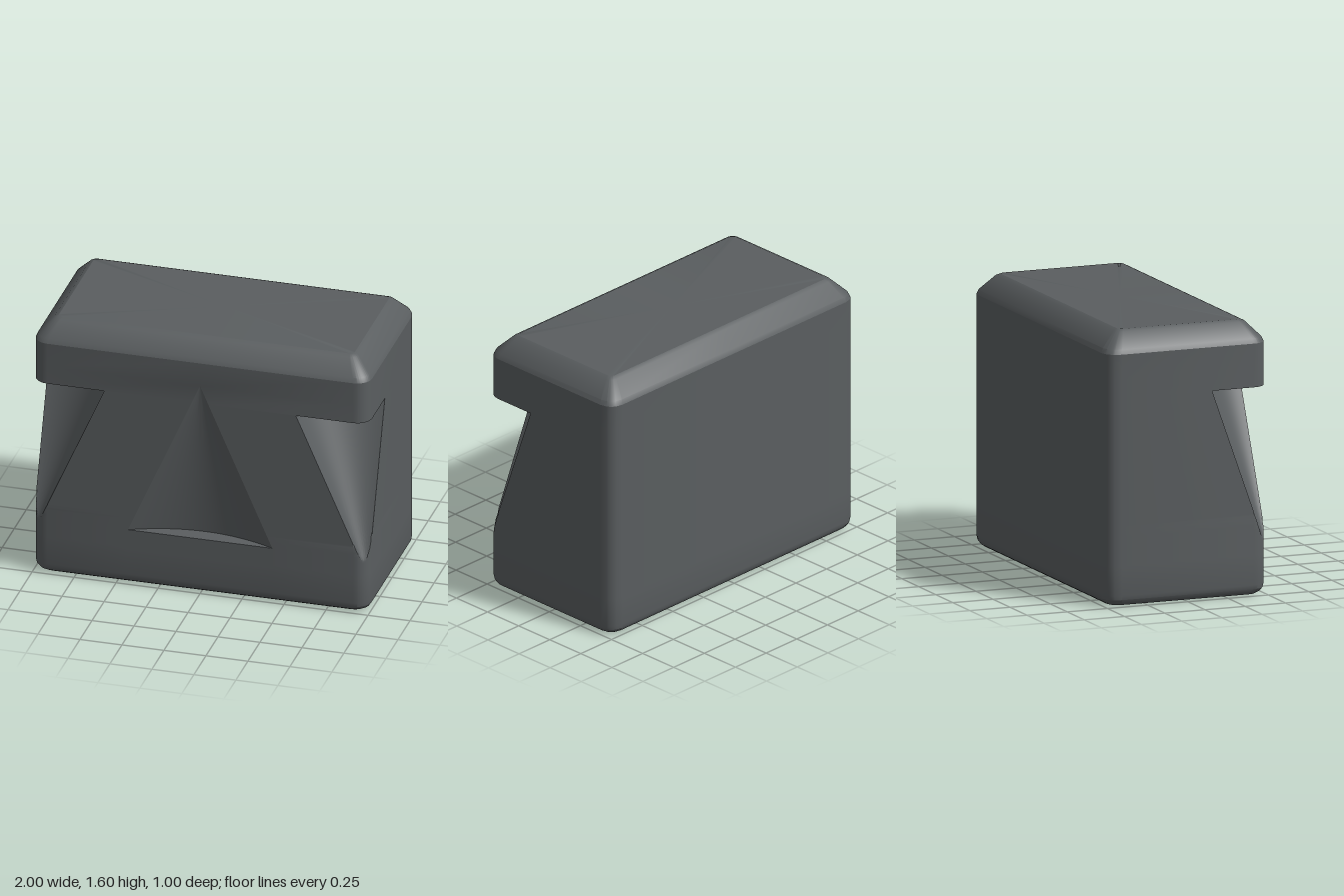
import * as THREE from 'three';
import { toCreasedNormals } from 'three/addons/utils/BufferGeometryUtils.js';

const HX = 1, HZ = 0.5;                       // half width and half depth
const RECESS = { base: 0.35, tip: 1.33, half: 0.43, depth: 0.1 };
const NOTCH = { tip: 0.24, top: 1.22, rx: 0.43, rz: 0.35 };
const RAYS = 32, ARC = 16;

// Distance from a square corner to the block's surface along a ray:
// the rounded edge, or the conical notch where that cuts deeper.
function cornerDepth(phi, radius, notch) {
  const c = Math.cos(phi), s = Math.sin(phi);
  const rounded = radius * (c + s - Math.sqrt(Math.max(0, 2 * c * s)));
  const cone = notch / Math.hypot(c / NOTCH.rx, s / NOTCH.rz);
  return Math.max(rounded, cone);
}

// Closed horizontal outline, running front centre -> right of frame -> back -> round again
function outline({ y, inset = 0, recess = false, notch = false }) {
  const hx = HX - inset, hz = HZ - inset, radius = 0.09 - inset * 0.5;
  const k = THREE.MathUtils.clamp((RECESS.tip - y) / (RECESS.tip - RECESS.base), 0, 1);
  const n = notch ? (y - NOTCH.tip) / (NOTCH.top - NOTCH.tip) : 0;
  const half = [];
  // front recess
  for (let i = 0; i <= ARC; i++) {
    const t = i / ARC;
    const depth = recess ? RECESS.depth * k * (1 - t * t) : 0;
    half.push([RECESS.half * k * t, hz - depth]);
  }
  // front corner with notch
  for (let i = 0; i <= RAYS; i++) {
    const phi = (i / RAYS) * Math.PI / 2, t = cornerDepth(phi, radius, n);
    half.push([hx - t * Math.cos(phi), hz - t * Math.sin(phi)]);
  }
  // rounded back corner
  for (let i = 0; i <= 8; i++) {
    const phi = (1 - i / 8) * Math.PI / 2, t = cornerDepth(phi, radius, 0);
    half.push([hx - t * Math.cos(phi), -hz + t * Math.sin(phi)]);
  }
  half.push([0, -hz]);
  const mirrored = half.slice(1, -1).reverse().map(([x, z]) => [-x, z]);
  return [...half, ...mirrored].map(([x, z]) => new THREE.Vector3(x, y, z));
}

function blockLevels() {
  const levels = [];
  // rounded bottom edge
  const r = 0.065;
  for (let i = 0; i <= 4; i++) {
    const a = (i / 4) * Math.PI / 2;
    levels.push({ y: r * (1 - Math.cos(a)), inset: r * (1 - Math.sin(a)) });
  }
  // start of the notches, then the floor of the recess
  for (let y = NOTCH.tip; y < RECESS.base - 0.001; y += 0.01) levels.push({ y, notch: true });
  levels.push({ y: RECESS.base, notch: true });
  for (let y = RECESS.base; y < 0.6; y += 0.01) levels.push({ y, notch: true, recess: true });
  for (let i = 0; i <= 6; i++) {
    levels.push({ y: THREE.MathUtils.lerp(0.62, NOTCH.top, i / 6), notch: true, recess: true });
  }
  // notch ceiling and recess tip
  levels.push({ y: NOTCH.top, recess: true }, { y: RECESS.tip });
  // bevelled top edge, softened at both ends
  levels.push({ y: 1.475 }, { y: 1.502, inset: 0.012 }, { y: 1.588, inset: 0.095 }, { y: 1.6, inset: 0.12 });
  return levels;
}

function blockGeometry() {
  const rings = blockLevels().map(outline);
  const count = rings[0].length, positions = [];
  const cross = new THREE.Vector3(), edge = new THREE.Vector3();
  const tri = (a, b, c) => {
    cross.subVectors(b, a).cross(edge.subVectors(c, a));
    if (cross.length() > 1e-10) for (const p of [a, b, c]) positions.push(p.x, p.y, p.z);
  };
  const bottom = new THREE.Vector3(0, 0, 0), top = new THREE.Vector3(0, 1.6, 0);
  const last = rings[rings.length - 1];
  for (let j = 0; j < count; j++) {
    const m = (j + 1) % count;
    for (let i = 0; i < rings.length - 1; i++) {
      const a = rings[i], b = rings[i + 1];
      tri(a[j], a[m], b[m]);
      tri(a[j], b[m], b[j]);
    }
    tri(bottom, rings[0][m], rings[0][j]);
    tri(top, last[j], last[m]);
  }
  const geometry = new THREE.BufferGeometry();
  geometry.setAttribute('position', new THREE.Float32BufferAttribute(positions, 3));
  return toCreasedNormals(geometry, 0.41);
}

export function createModel() {
  const group = new THREE.Group();
  group.name = 'notchedBlock';
  const block = new THREE.Mesh(
    blockGeometry(),
    new THREE.MeshStandardMaterial({ color: 0x5a5e60 })
  );
  block.name = 'bevelledBlock';
  group.add(block);
  return group;
}
